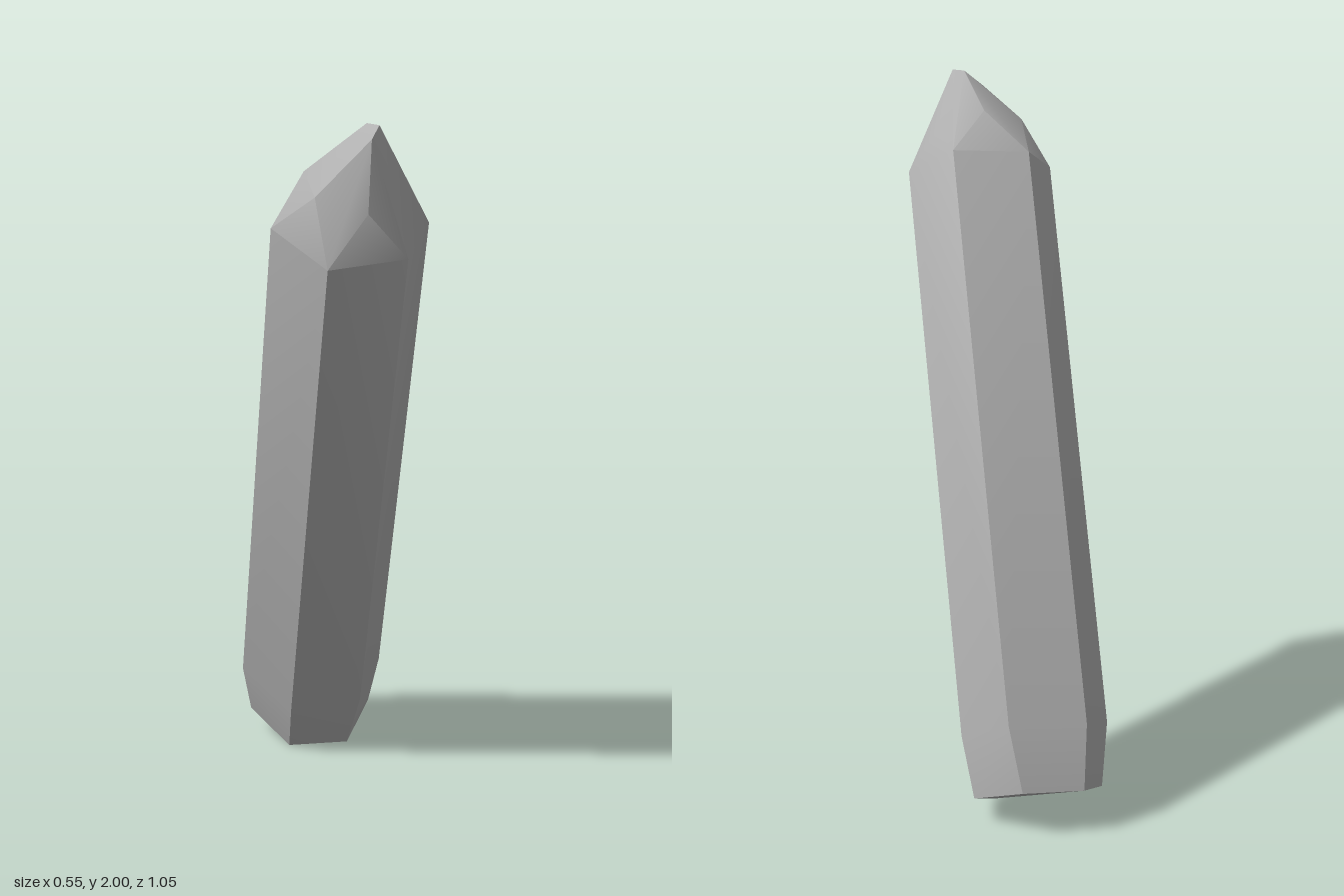
import * as THREE from 'three';
import { ConvexGeometry } from 'three/addons/geometries/ConvexGeometry.js';
import { toCreasedNormals } from 'three/addons/utils/BufferGeometryUtils.js';

const points = (list) => list.map((p) => new THREE.Vector3(...p));

export function createModel() {
  const group = new THREE.Group();
  group.name = 'crystal';
  const stone = new THREE.MeshStandardMaterial({ color: 0xb0b0b0 });
  stone.name = 'grey stone';

  // narrow six-sided base
  const base = points([
    [-0.135, 0, -0.21], [0.04, 0, -0.245], [0.1, 0.07, -0.41],
    [-0.03, 0.13, -0.525], [-0.2, 0.125, -0.495], [-0.26, 0.07, -0.33],
  ]);
  // upper shoulder of the leaning hexagonal shaft
  const shoulder = points([
    [0.015, 1.64, 0.522], [0.22, 1.66, 0.465], [0.272, 1.72, 0.28],
    [0.145, 1.8, 0.14], [-0.07, 1.79, 0.18], [-0.14, 1.72, 0.377],
  ]);
  // lower shoulder: the upper one slid down the shaft axis
  const axis = new THREE.Vector3(-0.138, -1.488, -0.632);
  const foot = shoulder.map((p) => p.clone().add(axis));
  // facet corners of the chiselled tip
  const facets = points([
    [0.118, 1.785, 0.512], [0.19, 1.84, 0.285], [0.055, 1.9, 0.25],
    [-0.055, 1.865, 0.345], [-0.02, 1.82, 0.475],
  ]);
  // short ridge at the very top
  const ridge = points([
    [0.125, 1.97, 0.475], [0.143, 2, 0.435], [0.11, 2, 0.4], [0.055, 1.957, 0.395],
  ]);

  // soft shoulders, sharp long edges
  const hull = new ConvexGeometry([...base, ...foot, ...shoulder, ...facets, ...ridge]);
  const shaft = new THREE.Mesh(toCreasedNormals(hull, 0.62), stone);
  shaft.name = 'crystal shaft and tip';
  group.add(shaft);
  return group;
}
